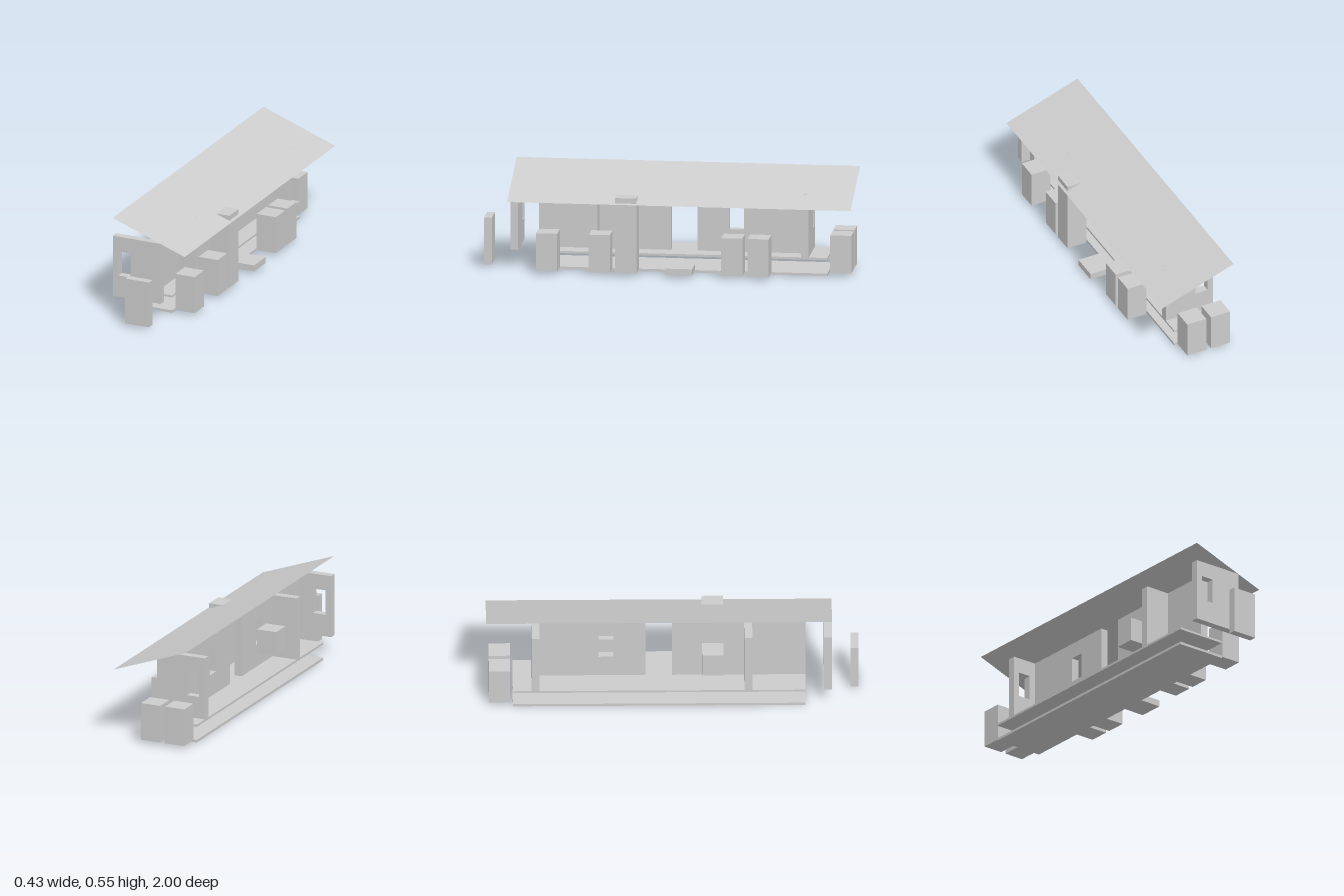
import * as THREE from 'three';

export function createModel() {
  const model = new THREE.Group();
  model.name = 'longShelter';
  const grey = new THREE.MeshStandardMaterial({ color: 0xcccccc });
  grey.name = 'plainGrey';
  const greyThin = new THREE.MeshStandardMaterial({ color: 0xcccccc, side: THREE.DoubleSide });
  greyThin.name = 'plainGreyThin';

  // Box given by its minimum and maximum along each axis
  function box(name, [x0, x1], [y0, y1], [z0, z1]) {
    const mesh = new THREE.Mesh(new THREE.BoxGeometry(x1 - x0, y1 - y0, z1 - z0), grey);
    mesh.position.set((x0 + x1) / 2, (y0 + y1) / 2, (z0 + z1) / 2);
    mesh.name = name;
    model.add(mesh);
  }

  const T = 0.043;            // wall thickness
  const WALL_Y = [0.1, 0.445];
  const WINDOW_Y = [0.222, 0.36];

  // Upright wall with one window, extruded along +z from its outline
  function windowWall(name, [a0, a1], [w0, w1]) {
    const rect = (P, l, r, b, t) => {
      const p = new P();
      p.moveTo(l, b); p.lineTo(r, b); p.lineTo(r, t); p.lineTo(l, t); p.closePath();
      return p;
    };
    const shape = rect(THREE.Shape, a0, a1, ...WALL_Y);
    shape.holes.push(rect(THREE.Path, w0, w1, ...WINDOW_Y));
    const mesh = new THREE.Mesh(new THREE.ExtrudeGeometry(shape, { depth: T, bevelEnabled: false }), grey);
    mesh.name = name;
    model.add(mesh);
    return mesh;
  }

  // Two stacked floor slabs
  const deckX = [-0.214, 0.071], deckZ = [-0.857, 0.714];
  box('lowerFloor', deckX, [0, 0.014], deckZ);
  box('upperFloor', deckX, [0.088, 0.1], deckZ);

  // End walls with windows, and the solid cross wall
  windowWall('frontEndWall', deckX, [-0.18, -0.107]).position.z = 0.814;
  windowWall('backEndWall', deckX, [-0.18, -0.107]).position.z = -0.757;
  box('crossWall', deckX, WALL_Y, [0.386, 0.429]);

  // Long inner wall in three lengths with a doorway gap
  const spineX = -0.071;
  box('longWallFront', [spineX, spineX + T], WALL_Y, [0.429, 0.714]);
  const lengths = [
    ['longWallMiddle', [0, 0.386], [0.177, 0.257]],
    ['longWallBack', [-0.714, -0.143], [-0.395, -0.315]],
  ];
  for (const [name, [z0, z1], [w0, w1]] of lengths) {
    const wall = windowWall(name, [-z1, -z0], [-w1, -w0]);
    wall.rotation.y = Math.PI / 2;
    wall.position.x = spineX;
  }

  // Sloping sheet roof
  const roof = new THREE.Mesh(new THREE.PlaneGeometry(Math.hypot(0.428, 0.154), 1.857), greyThin);
  roof.geometry.rotateX(-Math.PI / 2);
  roof.rotation.z = -Math.atan2(0.154, 0.428);
  roof.position.set(0, 0.47, -0.0715);
  roof.name = 'roof';
  model.add(roof);

  // Square blocks along the right side, and two behind
  const S = 0.0572;
  for (const [x, z] of [[0.142, 0.645], [0.142, 0.36], [0.142, -0.356], [0.142, -0.499],
    [-0.143, -0.928], [0, -0.928]]) {
    box('block', [x - S, x + S], [0.015, 0.222], [z - S, z + S]);
  }
  box('chimney', [0.085, 0.199], [0.015, 0.427], [0.16, 0.274]);
  box('innerBox', [-0.2, -0.086], [0.188, 0.32], [0.16, 0.274]);

  // Doorstep and free-standing front panel
  box('doorstep', [0.071, 0.214], [0.015, 0.05], [-0.143, 0]);
  box('frontPanel', [-0.071, 0.071], [0.015, 0.272], [0.957, 1]);

  return model;
}
